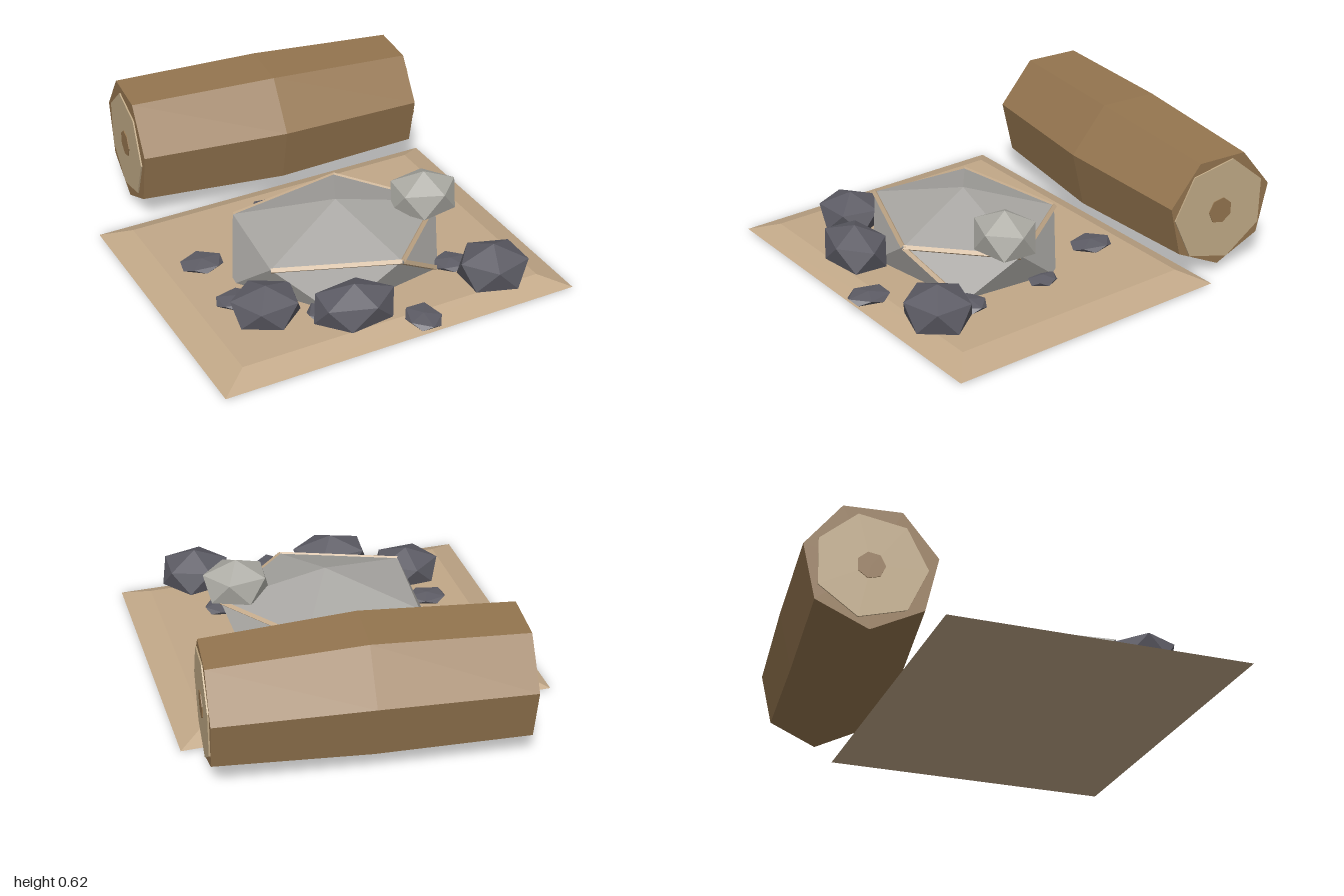
import * as THREE from 'three';

const mat = (name, color) => {
  const m = new THREE.MeshStandardMaterial({ color });
  m.name = name;
  return m;
};

// Gives every face its own normal
const facet = (geo) => {
  const g = geo.index ? geo.toNonIndexed() : geo;
  g.computeVertexNormals();
  return g;
};

export function createModel() {
  const sand = mat('sand', 0xc2a888);
  const bark = mat('bark', 0x94754f);
  const wood = mat('cut wood', 0xc2ab87);
  const paleStone = mat('pale stone', 0xa8a6a2);
  const lightStone = mat('light stone', 0xadaca5);
  const darkStone = mat('dark stone', 0x5d5c65);

  const model = new THREE.Group();
  model.name = 'rocksAndLog';
  const add = (name, geo, material, x = 0, y = 0, z = 0, parent = model) => {
    const mesh = new THREE.Mesh(facet(geo), material);
    mesh.name = name;
    mesh.position.set(x, y, z);
    parent.add(mesh);
    return mesh;
  };

  // Twenty-sided stone standing on a point, with one upper corner facing +x
  const stone = (sx, sy, sz, spin = 0) => new THREE.IcosahedronGeometry(1, 0)
    .rotateX(-Math.atan((1 + Math.sqrt(5)) / 2))
    .rotateY(Math.PI / 2 + spin)
    .scale(sx, sy, sz);

  // Sand slab with sloping sides
  const slab = new THREE.CylinderGeometry(0.85 * Math.SQRT2, Math.SQRT2, 0.05, 4)
    .rotateY(Math.PI / 4).scale(0.89, 1, 0.715);
  add('sandSlab', slab, sand, 0, 0.025, 0.2).rotation.y = 0.1;

  // Big pale boulder; its underside is trimmed flat inside the slab
  const boulder = stone(0.575, 0.24, 0.475);
  const bp = boulder.attributes.position;
  for (let i = 0; i < bp.count; i++) bp.setY(i, Math.max(bp.getY(i), -0.115));
  add('boulder', boulder, paleStone, 0, 0.135, 0.25);

  // Sandy veins along the boulder's upper ring and one front ridge
  const corner = (deg, y) => {
    const a = THREE.MathUtils.degToRad(deg);
    return new THREE.Vector3(0.514 * Math.cos(a), y, 0.25 + 0.425 * Math.sin(a));
  };
  const vein = (a, b) => add('sandVein',
    new THREE.TubeGeometry(new THREE.LineCurve3(a, b), 1, 0.014, 4), sand);
  for (const d of [0, 72, 216, 288]) vein(corner(d, 0.238), corner(d + 72, 0.238));
  vein(corner(72, 0.238), corner(36, 0.04));

  // Light stone resting on the boulder
  add('restingStone', stone(0.18, 0.125, 0.155), lightStone, 0.43, 0.32, 0.285);

  // Dark rocks: x, z, half width, half depth, spin, peak
  const rocks = [
    [-0.48, 0.60, 0.18, 0.165, 0.5, 0.24],
    [-0.12, 0.76, 0.215, 0.15, 0, 0.26],
    [0.585, 0.72, 0.185, 0.17, 0.7, 0.27],
  ];
  for (const [x, z, sx, sz, spin, top] of rocks) {
    const half = (top - 0.03) / 2;
    add('darkRock', stone(sx, half, sz, spin), darkStone, x, top - half, z);
  }

  // Flat pebbles: x, z, half width, half depth, spin
  const pebbles = [
    [-0.60, 0.07, 0.115, 0.095, 0.3],
    [-0.15, -0.235, 0.09, 0.115, 0.9],
    [0.28, -0.285, 0.095, 0.115, 0.4],
    [0.18, 0.85, 0.09, 0.115, 1.0],
    [0.48, 0.50, 0.095, 0.085, 0.2],
    [0.46, 0.10, 0.065, 0.08, 0.6],
    [-0.55, 0.41, 0.11, 0.085, 0.1],
    [-0.20, 0.65, 0.11, 0.10, 0.8],
  ];
  for (const [x, z, sx, sz, spin] of pebbles) {
    add('pebble', stone(sx, 0.023, sz, spin), darkStone, x, 0.06, z);
  }

  // Seven-sided log, thicker in the middle and slightly bowed
  const log = new THREE.Group();
  log.name = 'log';
  model.add(log);
  const sections = [
    { r: 0.307, z: -0.70 }, { r: 0.325, z: -0.68 }, { r: 0.285, z: -0.705 },
  ];
  const trunk = new THREE.CylinderGeometry(1, 1, 2, 7, 2, false, Math.PI / 2)
    .rotateZ(-Math.PI / 2);
  const p = trunk.attributes.position;
  for (let i = 0; i < p.count; i++) {
    const s = sections[Math.round(p.getX(i)) + 1];
    p.setXYZ(i, p.getX(i) * 0.715, p.getY(i) * s.r, p.getZ(i) * s.r + s.z);
  }
  add('trunk', trunk, bark, 0, 0.318, 0, log);

  // Cut faces and their cores at both ends
  for (const side of [-1, 1]) {
    const plate = (name, r, x, material) => add(name,
      new THREE.CylinderGeometry(r, r, 0.008, 7, 1, false, Math.PI / 2 + 0.2).rotateZ(-Math.PI / 2),
      material, side * x, 0.313, -0.702, log);
    plate('cutFace', 0.255, 0.718, wood);
    plate('heartwood', 0.065, 0.722, bark);
  }

  return model;
}
